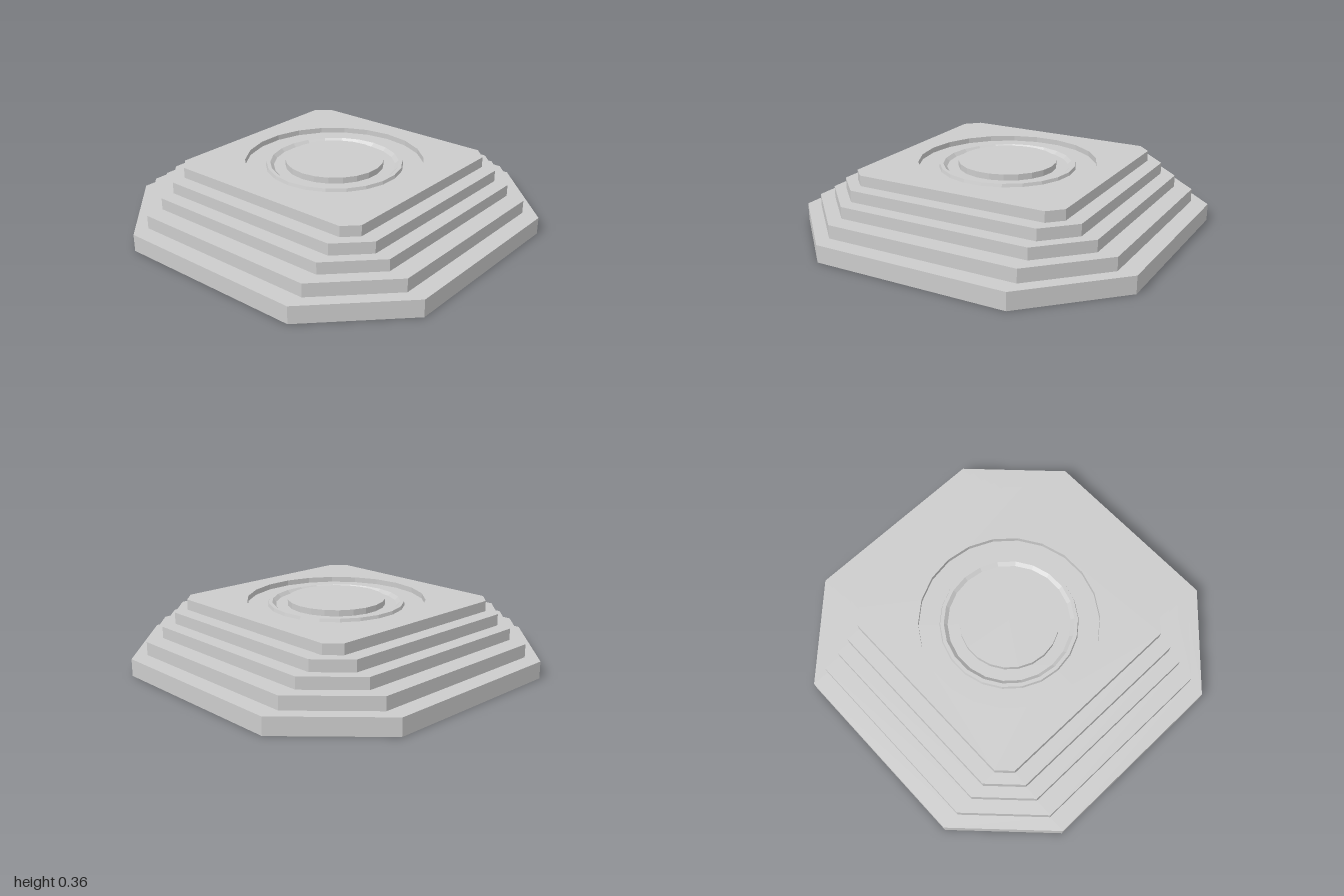
import * as THREE from 'three';

const CORNER = 0.55; // half length of every straight side, shared by all steps
const TOP = 0.358;

const material = new THREE.MeshStandardMaterial({
  color: 0xcccccc, flatShading: true, side: THREE.DoubleSide,
});

// Corners of a chamfered square with half width r, as [x, z]
function octagon(r) {
  const c = CORNER;
  return [[r, -c], [r, c], [c, r], [-c, r], [-r, c], [-r, -c], [-c, -r], [c, -r]];
}

// Open skin running through octagonal loops given as [half width, height]
function octagonSkin(profile) {
  const pos = [];
  const index = [];
  profile.forEach(([r, y]) => octagon(r).forEach(([x, z]) => pos.push(x, y, z)));
  for (let k = 0; k < profile.length - 1; k++) {
    for (let i = 0; i < 8; i++) {
      const a = k * 8 + i;
      const b = k * 8 + (i + 1) % 8;
      index.push(a, a + 8, b, b, a + 8, b + 8);
    }
  }
  const geo = new THREE.BufferGeometry();
  geo.setAttribute('position', new THREE.Float32BufferAttribute(pos, 3));
  geo.setIndex(index);
  const flat = geo.toNonIndexed();
  flat.computeVertexNormals();
  return flat;
}

export function createModel() {
  const group = new THREE.Group();
  const add = (name, geo) => {
    const mesh = new THREE.Mesh(geo, material);
    mesh.name = name;
    group.add(mesh);
    return mesh;
  };

  // Hollow stepped base: a riser then a tread per level
  const widths = [1, 0.9, 0.795, 0.71, 0.625];
  const heights = [0, 0.096, 0.17, 0.235, 0.299, TOP];
  const profile = [];
  widths.forEach((r, i) => profile.push([r, heights[i]], [r, heights[i + 1]]));
  add('steps', octagonSkin(profile));

  // Top deck with a round opening
  const segments = 22;
  const deck = new THREE.Shape(octagon(0.625).map(([x, z]) => new THREE.Vector2(x, -z)));
  const opening = [];
  for (let i = 0; i < segments; i++) {
    const a = (i / segments) * Math.PI * 2;
    opening.push(new THREE.Vector2(0.5 * Math.sin(a), -0.5 * Math.cos(a)));
  }
  deck.holes.push(new THREE.Path(opening));
  const deckGeo = new THREE.ShapeGeometry(deck);
  deckGeo.rotateX(-Math.PI / 2).translate(0, TOP, 0);
  add('deck', deckGeo);

  // Sunken basin with a low ring and a raised centre disc
  const floor = TOP - 0.03;
  const basin = [
    [0.5, TOP], [0.5, floor], [0.385, floor], [0.38, floor + 0.018],
    [0.36, floor + 0.018], [0.34, floor], [0.275, floor],
    [0.275, TOP + 0.004], [0, TOP + 0.004],
  ].map(([r, y]) => new THREE.Vector2(r, y));
  add('basin', new THREE.LatheGeometry(basin, segments));

  // Narrow lip under the front edge
  const lip = new THREE.PlaneGeometry(CORNER * 2, 0.08);
  lip.rotateX(Math.PI / 2).translate(0, 0, 0.96);
  add('frontLip', lip);

  return group;
}
